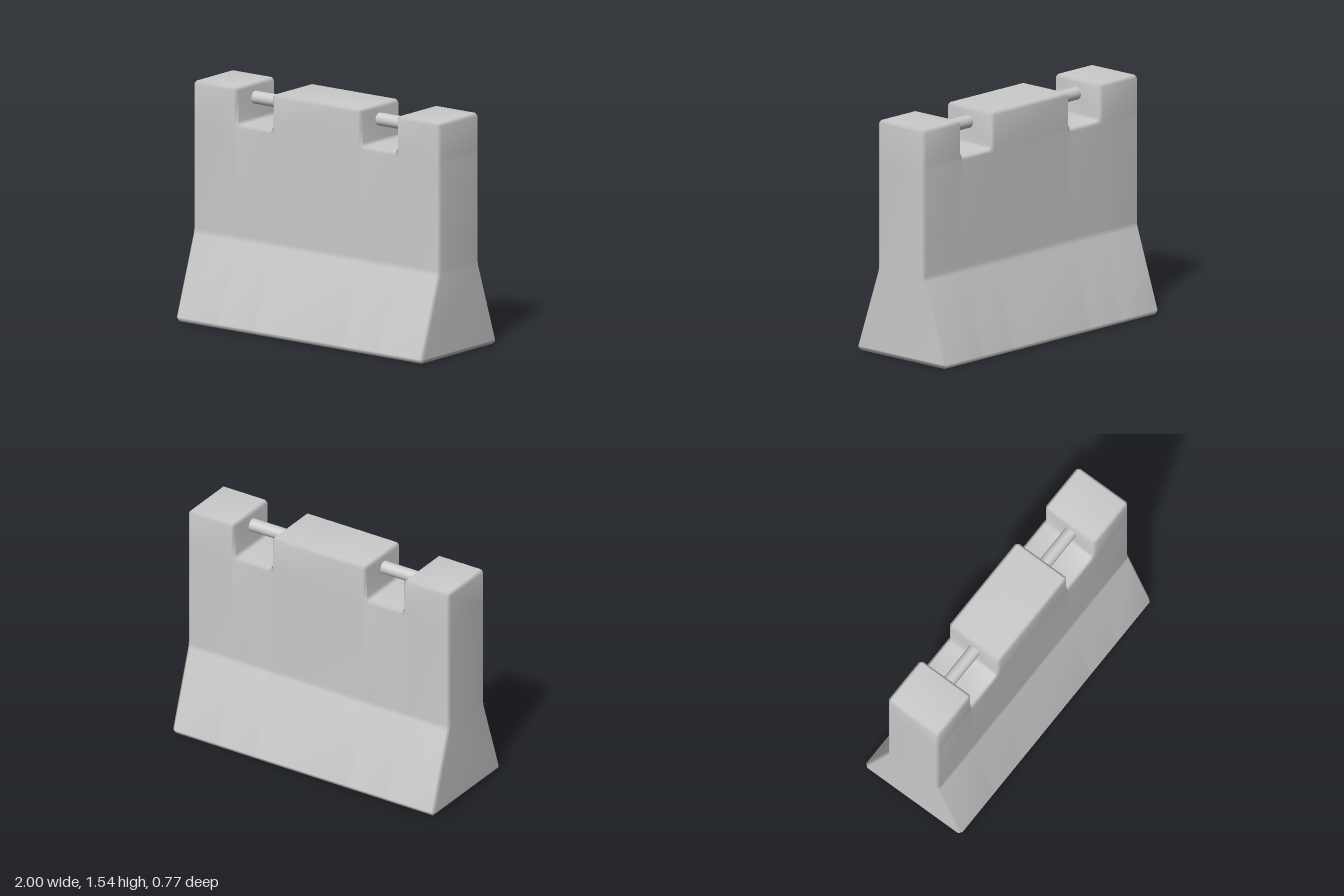
import * as THREE from 'three';
import { mergeVertices } from 'three/addons/utils/BufferGeometryUtils.js';

const BEVEL = 0.02;
const HALF = 0.205;        // half thickness of the upper wall
const INNER = HALF - BEVEL;
const FLOOR = 1.3;         // height of the notch floors
const TOP = 1.54;

// Cross-section from bottom to top on +z, as [z, y]
function halfSection({ top, side, bevel, inset = 0 }) {
  return [
    [0.365, inset],
    [0.385 - inset, 0.03],
    [0.211 - inset, 0.545],
    [HALF - inset, 0.58],
    [HALF - inset, FLOOR - BEVEL],
    [side, FLOOR],
    [side, top - bevel],
    [side - bevel, top],
  ];
}

// Bevelled body lofted along x, with two notches in the top
function bodyGeometry() {
  const end = { top: TOP - BEVEL, side: INNER, bevel: 0, inset: BEVEL };
  const full = { top: TOP, side: HALF, bevel: BEVEL };
  const wallTop = { top: TOP - BEVEL, side: INNER, bevel: 0 };
  const wallFoot = { top: FLOOR + BEVEL, side: INNER, bevel: 0 };
  const floor = { top: FLOOR, side: INNER, bevel: 0 };
  const left = [
    [-1, end], [-1 + BEVEL, full],
    [-0.645 - BEVEL, full], [-0.645, wallTop], [-0.645, wallFoot], [-0.645 + BEVEL, floor],
    [-0.36 - BEVEL, floor], [-0.36, wallFoot], [-0.36, wallTop], [-0.36 + BEVEL, full],
  ];
  const stations = [...left, ...left.map(([x, s]) => [-x, s]).reverse()];

  const positions = [], index = [];
  let n = 0;
  for (const [x, params] of stations) {
    const half = halfSection(params);
    const loop = [...half, ...half.map(([z, y]) => [-z, y]).reverse()];
    n = loop.length;
    for (const [z, y] of loop) positions.push(x, y, z);
  }
  const quad = (a, b, c, d) => index.push(a, b, c, a, c, d);
  for (let i = 0; i < stations.length - 1; i++) {
    for (let j = 0; j < n; j++) {
      const k = (j + 1) % n;
      quad(i * n + j, (i + 1) * n + j, (i + 1) * n + k, i * n + k);
    }
  }
  // End faces
  const last = (stations.length - 1) * n;
  for (let j = 0; j < n / 2 - 1; j++) {
    const m = n - 1 - j;
    quad(last + j, last + m, last + m - 1, last + j + 1);
    quad(j, j + 1, m - 1, m);
  }

  const geometry = new THREE.BufferGeometry();
  geometry.setAttribute('position', new THREE.Float32BufferAttribute(positions, 3));
  geometry.setIndex(index);
  const merged = mergeVertices(geometry, 1e-4);
  merged.computeVertexNormals();
  return merged;
}

export function createModel() {
  const group = new THREE.Group();
  group.name = 'concreteBarrier';
  const material = new THREE.MeshStandardMaterial({ color: 0xcccccc });

  const body = new THREE.Mesh(bodyGeometry(), material);
  body.name = 'barrierBody';
  group.add(body);

  // Lifting bar across each notch
  const barGeometry = new THREE.CylinderGeometry(0.042, 0.042, 0.33, 24);
  barGeometry.rotateZ(Math.PI / 2);
  for (const side of [-1, 1]) {
    const bar = new THREE.Mesh(barGeometry, material);
    bar.name = side > 0 ? 'leftLiftingBar' : 'rightLiftingBar';
    bar.position.set(side * 0.5025, 1.447, 0.01);
    group.add(bar);
  }
  return group;
}
